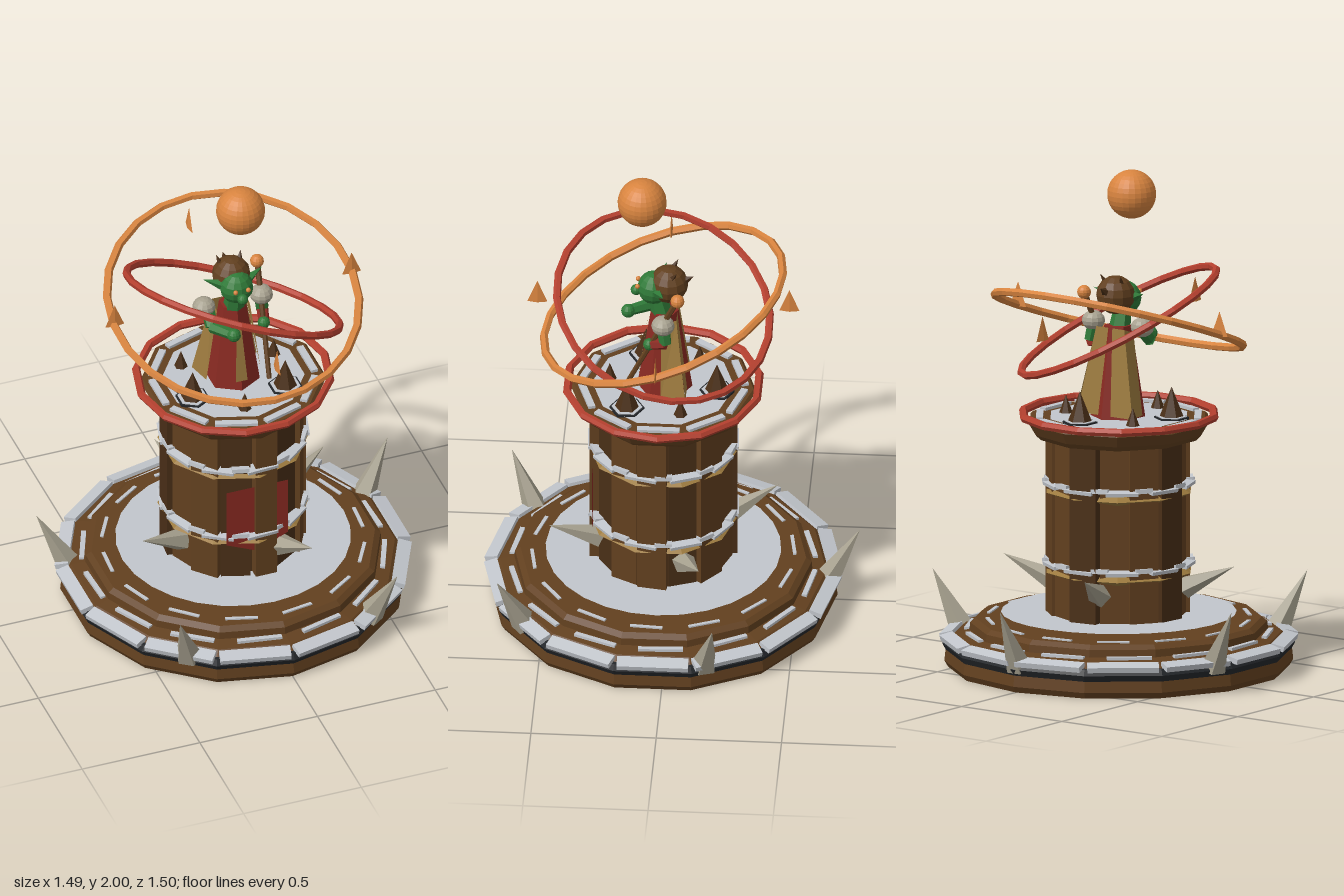
import * as THREE from 'three';

const mat = (name, color, side = THREE.FrontSide) => {
  const m = new THREE.MeshStandardMaterial({ color, side });
  m.name = name;
  return m;
};
const V = (x, y, z) => new THREE.Vector3(x, y, z);
const UP = V(0, 1, 0);

export function createModel() {
  const wood = mat('wood', 0x62401f), darkWood = mat('darkWood', 0x4a2f17);
  const iron = mat('iron', 0x24272b), snow = mat('snow', 0xc2c6cc, THREE.DoubleSide);
  const bone = mat('bone', 0xa8a290), red = mat('red', 0xb5402f);
  const cloth = mat('cloth', 0x8a2a22, THREE.DoubleSide), orange = mat('orange', 0xd8843f);
  const green = mat('green', 0x2f7a38), gold = mat('gold', 0x9c7a3e, THREE.DoubleSide);

  const model = new THREE.Group();
  const tower = new THREE.Group();
  tower.name = 'tower';
  tower.position.z = 0.036;
  model.add(tower);

  // Adds a faceted mesh
  const add = (name, geo, material, x = 0, y = 0, z = 0, parent = tower) => {
    const g = geo.index ? geo.toNonIndexed() : geo;
    g.computeVertexNormals();
    const mesh = new THREE.Mesh(g, material);
    mesh.name = name;
    mesh.position.set(x, y, z);
    parent.add(mesh);
    return mesh;
  };
  const lathe = (name, pts, sides, material) =>
    add(name, new THREE.LatheGeometry(pts.map(p => new THREE.Vector2(...p)), sides), material);
  // Tapered rod or spike between two points
  const rod = (name, a, b, r0, r1, sides, material, parent = tower) => {
    const d = b.clone().sub(a);
    const mesh = add(name, new THREE.CylinderGeometry(r1, r0, d.length(), sides), material, 0, 0, 0, parent);
    mesh.position.copy(a).add(b).multiplyScalar(0.5);
    mesh.quaternion.setFromUnitVectors(UP, d.normalize());
    return mesh;
  };
  const polar = (r, a, y) => V(Math.sin(a) * r, y, Math.cos(a) * r);
  // Boxes spaced around a circle
  const ringOfBoxes = (name, n, r, y, w, h, d, material, turn = 0.5, tilt = 0) => {
    for (let i = 0; i < n; i++) {
      const a = (i + turn) / n * Math.PI * 2, p = polar(r, a, y);
      const b = add(name, new THREE.BoxGeometry(w, h, d), material, p.x, p.y, p.z);
      b.rotation.set(tilt, a, 0, 'YXZ');
    }
  };
  const torus = (name, R, r, seg, material, y, normal) => {
    const t = add(name, new THREE.TorusGeometry(R, r, 6, seg), material, 0, y, 0);
    t.quaternion.setFromUnitVectors(V(0, 0, 1), normal.normalize());
    return t;
  };

  // Stepped base with iron rim and snow slabs
  lathe('baseFoot', [[0, 0], [0.68, 0], [0.695, 0.025], [0.69, 0.07], [0, 0.07]], 14, wood);
  lathe('ironRim', [[0.6, 0.07], [0.69, 0.07], [0.703, 0.095], [0.69, 0.12], [0.6, 0.12]], 14, iron);
  lathe('lowerStep', [[0.68, 0.115], [0.65, 0.14], [0.58, 0.152]], 14, wood);
  lathe('upperStep', [[0.595, 0.14], [0.592, 0.18], [0.57, 0.197], [0, 0.197]], 14, wood);
  ringOfBoxes('rimSnow', 14, 0.672, 0.127, 0.285, 0.022, 0.055, snow, 0.5, 0.25);
  ringOfBoxes('stepSnow', 14, 0.6, 0.15, 0.18, 0.012, 0.02, snow, 0.6);
  ringOfBoxes('terraceSnow', 14, 0.52, 0.199, 0.13, 0.008, 0.014, snow, 0.35);
  const disc = add('snowFloor', new THREE.CircleGeometry(0.47, 28), snow, 0, 0.222, 0);
  disc.rotation.x = -Math.PI / 2;

  // Bone spikes on the base and the column
  for (let i = 0; i < 5; i++) {
    const a = Math.PI + i * Math.PI * 0.4;
    rod('baseSpike', polar(0.655, a, 0.1), polar(0.785, a, 0.345), 0.055, 0, 5, bone);
  }
  for (let i = 0; i < 4; i++) {
    const a = 0.36 + i * Math.PI / 2;
    rod('columnSpike', polar(0.27, a, 0.335), polar(0.48, a, 0.43), 0.048, 0, 5, bone);
  }

  // Column of uneven planks
  add('columnCore', new THREE.CylinderGeometry(0.25, 0.25, 0.76, 14), darkWood, 0, 0.57, 0);
  const depth = [0.292, 0.262, 0.278, 0.288, 0.266, 0.282, 0.27];
  for (let i = 0; i < 14; i++) {
    const a = 0.13 + i / 14 * Math.PI * 2, p = polar(depth[i % 7] - 0.03, a, 0.57);
    const w = i === 0 ? 0.09 : 0.118;
    const plank = add('plank', new THREE.BoxGeometry(w, 0.76, 0.06), i % 3 === 1 ? darkWood : wood, p.x, p.y, p.z);
    plank.rotation.y = a + (i ? (i % 3 - 1) * 0.06 : -0.13);
  }

  // Gold bands with a ragged snow cover
  for (const y of [0.395, 0.72]) {
    lathe('goldBand', [[0.25, y - 0.025], [0.302, y], [0.25, y + 0.03]], 10, gold);
    ringOfBoxes('bandSnow', 10, 0.277, y + 0.034, 0.13, 0.014, 0.045, snow, 0.1, 0.15);
    ringOfBoxes('bandSnowLump', 10, 0.272, y + 0.04, 0.07, 0.018, 0.05, snow, 0.6, -0.1);
  }

  // Pointed banner
  const flag = new THREE.Shape([[-0.13, 0.66], [-0.13, 0.4], [0, 0.34], [0.13, 0.4], [0.13, 0.66]]
    .map(p => new THREE.Vector2(...p)));
  add('banner', new THREE.ShapeGeometry(flag), cloth, 0, 0, 0.276);

  // Platform cap
  lathe('cap', [[0, 0.935], [0.325, 0.935], [0.345, 0.955], [0.372, 1.0], [0.36, 1.012], [0, 1.012]], 10, wood);
  const floor = add('capSnow', new THREE.CircleGeometry(0.285, 10), snow, 0, 1.017, 0);
  floor.rotation.set(-Math.PI / 2, 0, Math.PI / 2);
  ringOfBoxes('capSlab', 10, 0.315, 1.014, 0.17, 0.02, 0.028, snow);
  torus('capRing', 0.388, 0.017, 14, red, 1.023, V(0, 1, 0));

  // Stakes standing on the platform
  for (let i = 0; i < 6; i++) {
    const big = i % 2 === 0, p = polar(0.218, 3.0 + i * Math.PI / 3, 1.015), r = big ? 0.052 : 0.028;
    const h = big ? 0.13 : 0.075;
    if (big) {
      add('stakeRim', new THREE.CylinderGeometry(0.07, 0.07, 0.01, 6), iron, p.x, 1.018, p.z);
      add('stakeSnow', new THREE.CylinderGeometry(0.062, 0.062, 0.012, 6), snow, p.x, 1.02, p.z);
    }
    add('stake', new THREE.ConeGeometry(r, h, 6), darkWood, p.x, 1.015 + h / 2, p.z);
  }

  // Orbiting rings, shards and orb
  torus('orangeRing', 0.507, 0.017, 24, orange, 1.405, V(0, Math.cos(0.345), Math.sin(0.345)));
  torus('redRing', 0.44, 0.016, 24, red, 1.4, V(0.37, 0.886, -0.28));
  for (let i = 0; i < 4; i++) {
    const a = i * Math.PI / 2, p = polar(0.503, a, 1.45);
    const shard = add('shard', new THREE.ConeGeometry(0.04, 0.1, 4), orange, p.x, p.y, p.z);
    shard.rotation.y = a;
    shard.scale.x = 0.2;
  }
  add('orb', new THREE.SphereGeometry(0.098, 24, 16), orange, 0, 1.902, 0.085);

  // Robed figure
  const fig = new THREE.Group();
  fig.name = 'figure';
  model.add(fig);
  const ball = (name, r, material, x, y, z, sx = 1, sy = 1, sz = 1) => {
    const b = add(name, new THREE.SphereGeometry(r, 12, 8), material, x, y, z, fig);
    b.scale.set(sx, sy, sz);
  };
  const panel = (name, pts, material) => {
    const g = new THREE.BufferGeometry().setFromPoints(
      [0, 1, 2, 0, 2, 3].map(i => V(...pts[i])));
    add(name, g, material, 0, 0, 0, fig);
  };
  add('robe', new THREE.CylinderGeometry(0.055, 0.11, 0.37, 6), cloth, 0, 1.2, 0.03, fig);
  panel('capeBack', [[-0.07, 1.38, -0.02], [-0.14, 1.03, -0.06], [0.135, 1.03, -0.06], [0.07, 1.38, -0.02]], gold);
  for (const s of [-1, 1]) {
    panel('capeSide', [[s * 0.07, 1.38, -0.02], [s * 0.14, 1.03, -0.06], [s * 0.115, 1.03, 0.04], [s * 0.07, 1.36, 0.04]], gold);
    ball('shoulderPad', 0.047, bone, s * 0.122, 1.39, 0.03, 1, 0.85, 1);
    rod('ear', V(s * 0.05, 1.5, 0.06), V(s * 0.125, 1.525, 0.03), 0.024, 0, 4, green, fig);
    rod('smallHorn', V(s * 0.04, 1.56, 0.0), V(s * 0.052, 1.595, -0.02), 0.014, 0, 4, darkWood, fig);
    ball('eye', 0.01, orange, s * 0.027, 1.51, 0.138);
  }
  panel('tabard', [[-0.008, 1.33, 0.1], [-0.025, 1.06, 0.134], [0.025, 1.06, 0.134], [0.008, 1.33, 0.1]], gold);
  ball('head', 0.068, green, 0, 1.49, 0.075, 1, 1, 0.95);
  ball('nose', 0.022, green, 0, 1.475, 0.145);
  ball('hood', 0.078, wood, 0, 1.51, 0.015);
  rod('hoodTip', V(0, 1.52, -0.03), V(0, 1.55, -0.085), 0.03, 0, 5, darkWood, fig);
  rod('neck', V(0, 1.36, 0.04), V(0, 1.45, 0.06), 0.045, 0.035, 6, green, fig);

  // Arms and staff
  const elbowR = V(-0.11, 1.33, 0.09), handR = V(-0.05, 1.335, 0.18);
  const elbowL = V(0.13, 1.31, 0.02), handL = V(0.112, 1.29, 0.085);
  rod('rightUpperArm', V(-0.11, 1.39, 0.03), elbowR, 0.028, 0.026, 6, green, fig);
  rod('rightForearm', elbowR, handR, 0.026, 0.022, 6, green, fig);
  ball('rightHand', 0.028, green, handR.x, handR.y, handR.z);
  rod('leftUpperArm', V(0.12, 1.38, 0.03), elbowL, 0.028, 0.026, 6, green, fig);
  rod('leftForearm', elbowL, handL, 0.026, 0.022, 6, cloth, fig);
  ball('leftHand', 0.025, green, handL.x, handL.y, handL.z);
  rod('staff', V(0.1, 1.08, 0.18), V(0.125, 1.5, -0.02), 0.01, 0.012, 6, wood, fig);
  ball('staffKnob', 0.028, orange, 0.125, 1.513, -0.028);

  return model;
}
